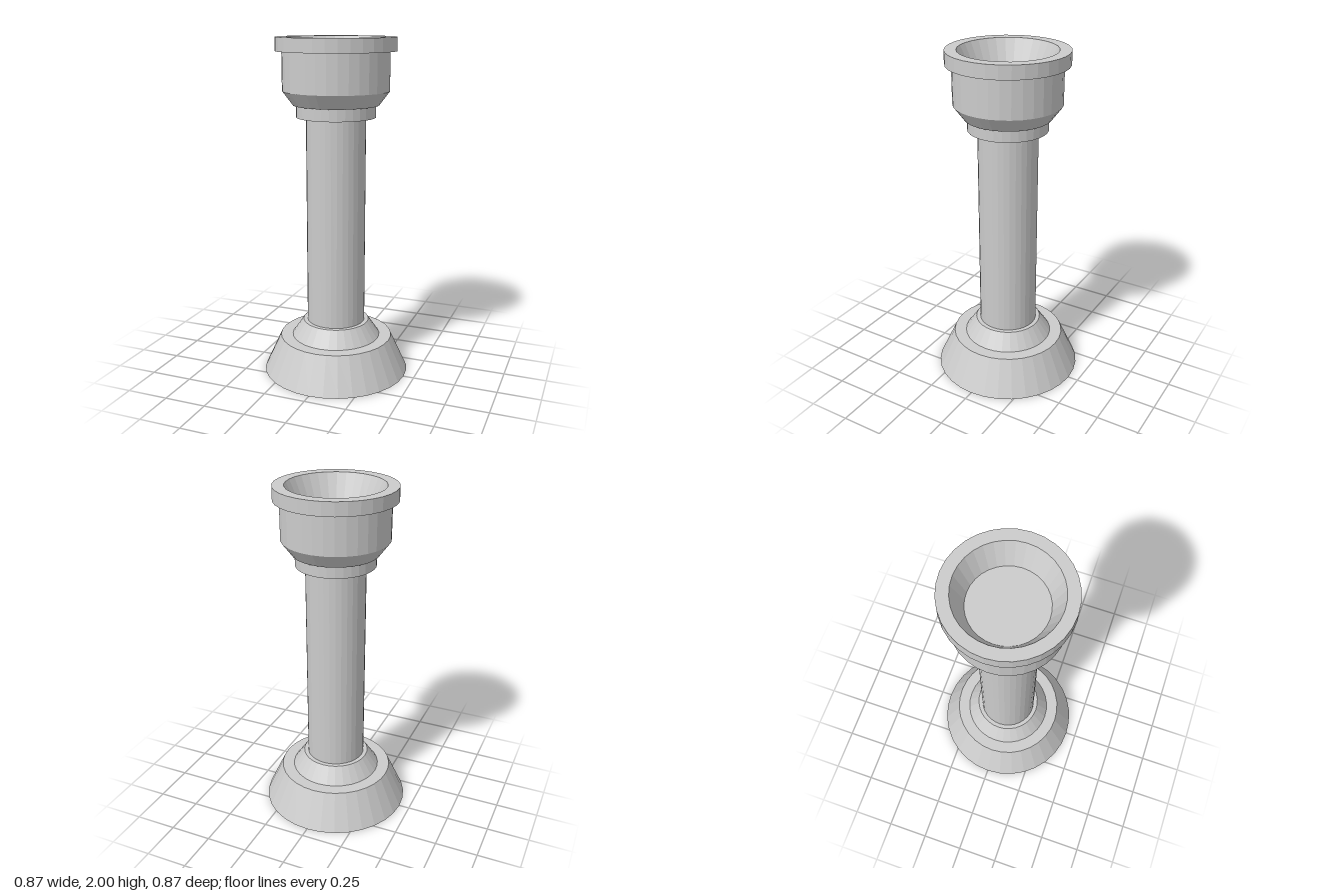
import * as THREE from 'three';

const SIDES = 32;

export function createModel() {
  const group = new THREE.Group();
  const material = new THREE.MeshStandardMaterial({ color: 0xcccccc, flatShading: true });

  // Turned part from a profile of [radius, height] points, listed bottom to top on the outside
  const turned = (name, profile) => {
    const points = profile.map(([r, y]) => new THREE.Vector2(r, y));
    const mesh = new THREE.Mesh(new THREE.LatheGeometry(points, SIDES), material);
    mesh.name = name;
    group.add(mesh);
  };

  // Flared foot with a closed underside and a flat ledge
  turned('base', [[0, 0], [0.437, 0], [0.337, 0.218], [0.265, 0.218]]);

  // Smaller cone rising from the ledge to the shaft
  turned('baseCone', [[0.265, 0.218], [0.198, 0.316], [0.173, 0.316]]);

  // Straight column
  turned('shaft', [[0.173, 0.316], [0.173, 1.55]]);

  // Narrow ring under the cup
  turned('collar', [[0.173, 1.55], [0.23, 1.55], [0.23, 1.62]]);

  // Cup body with a chamfered lower edge
  turned('cup', [[0.23, 1.62], [0.248, 1.62], [0.308, 1.70], [0.308, 1.922]]);

  // Projecting lip
  turned('rim', [[0.308, 1.922], [0.345, 1.922], [0.345, 2], [0.279, 2]]);

  // Tapered recess and its flat floor
  turned('bowl', [[0.279, 2], [0.215, 1.86], [0, 1.86]]);

  return group;
}
